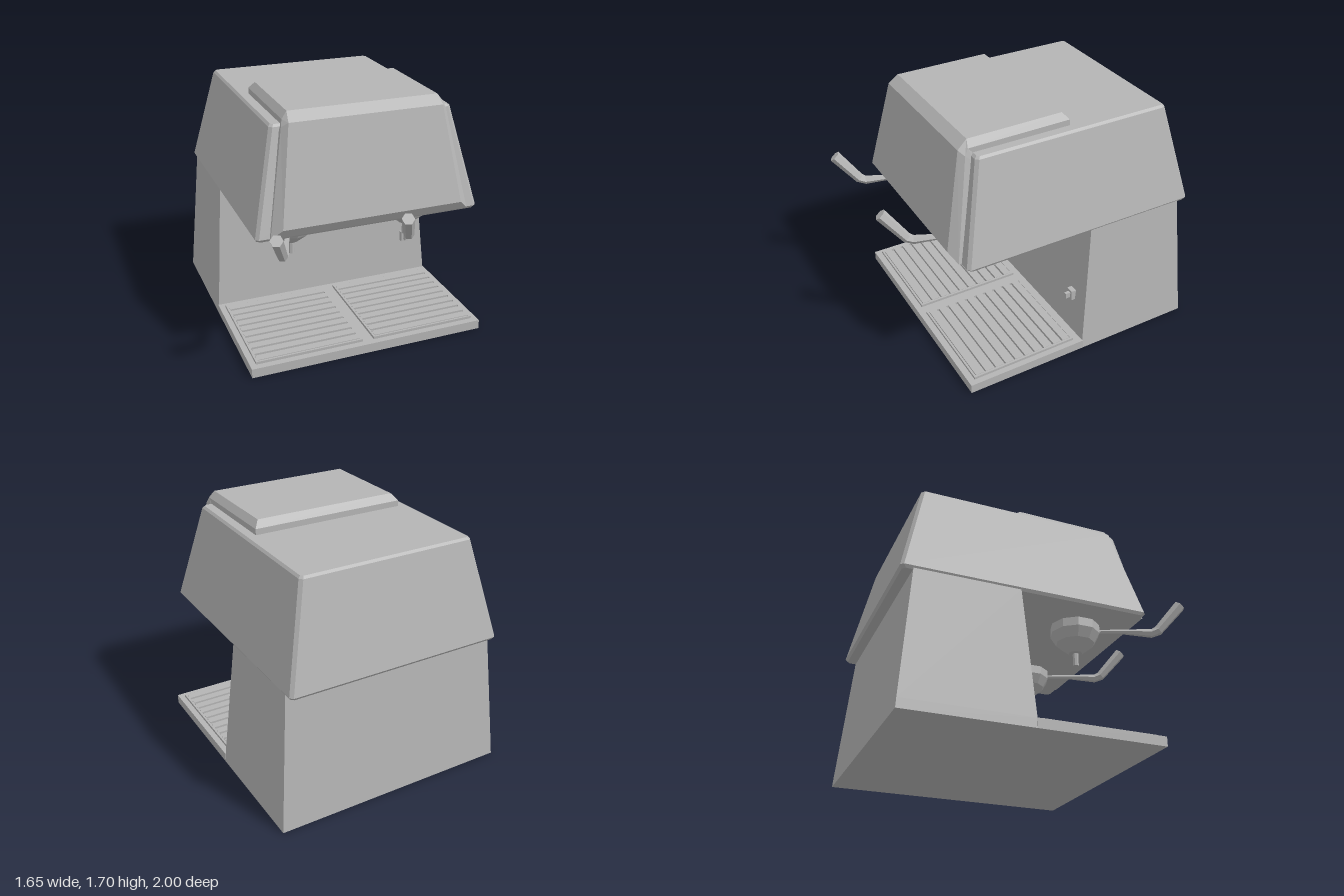
import * as THREE from 'three';

const grey = new THREE.MeshStandardMaterial({ color: 0xb4b4b4 });
grey.name = 'machine grey';

// Flat-faced mesh from any geometry
function flatMesh(name, geometry, x = 0, y = 0, z = 0) {
  const g = geometry.index ? geometry.toNonIndexed() : geometry;
  g.computeVertexNormals();
  const mesh = new THREE.Mesh(g, grey);
  mesh.name = name;
  mesh.position.set(x, y, z);
  return mesh;
}

const box = (name, w, h, d, x, y, z) => flatMesh(name, new THREE.BoxGeometry(w, h, d), x, y, z);

// Skin a series of even-sized rings, counter-clockwise seen from the last one, with strip caps
function loft(rings) {
  const out = [];
  const quad = (a, b, c, d) => [a, b, c, a, c, d].forEach((p) => out.push(...p));
  const n = rings[0].length;
  for (let r = 0; r < rings.length - 1; r++) {
    for (let i = 0; i < n; i++) {
      const j = (i + 1) % n;
      quad(rings[r][i], rings[r][j], rings[r + 1][j], rings[r + 1][i]);
    }
  }
  const first = rings[0], last = rings[rings.length - 1];
  for (let i = 0; i < n / 2 - 1; i++) {
    const [a, b, c, d] = [i, i + 1, n - 2 - i, n - 1 - i];
    quad(last[a], last[b], last[c], last[d]);
    quad(first[d], first[c], first[b], first[a]);
  }
  const g = new THREE.BufferGeometry();
  g.setAttribute('position', new THREE.Float32BufferAttribute(out, 3));
  return g;
}

// Complete a right-hand half ring with its mirror image
const mirrored = (half) => [...half, ...half.slice().reverse().map(([x, y, z]) => [-x, y, z])];

// Horizontal rectangle, with cut corners when c > 0
function rectRing(y, x, front, back, c = 0) {
  return mirrored(c
    ? [[x - c, y, front], [x, y, front - c], [x, y, back + c], [x - c, y, back]]
    : [[x, y, front], [x, y, back]]);
}

// Six-sided tapered portafilter handle, bent up at the grip
function makeHandle() {
  const path = [
    [-0.04, 0.89, 0.42, 0.014], [-0.07, 0.89, 0.48, 0.016], [-0.135, 0.89, 0.63, 0.018],
    [-0.205, 0.878, 0.79, 0.03], [-0.225, 0.895, 0.83, 0.034], [-0.302, 1.075, 0.968, 0.041],
  ];
  const points = path.map(([x, y, z]) => new THREE.Vector3(x, y, z));
  const side = new THREE.Vector3(0.91, 0, 0.41);
  const rings = points.map((p, k) => {
    const before = points[Math.max(k - 1, 0)], after = points[Math.min(k + 1, points.length - 1)];
    const tangent = after.clone().sub(before).normalize();
    const up = tangent.clone().cross(side).normalize();
    return Array.from({ length: 6 }, (_, i) => {
      const a = (i * Math.PI) / 3;
      return p.clone()
        .addScaledVector(side, Math.cos(a) * path[k][3])
        .addScaledVector(up, Math.sin(a) * path[k][3]).toArray();
    });
  });
  return flatMesh('portafilterHandle', loft(rings));
}

// Brewing bowl, spout and handle
function makeBrewGroup(x) {
  const group = new THREE.Group();
  group.name = 'brewGroup';
  group.position.x = x;
  const profile = [[0, 0.725], [0.045, 0.73], [0.13, 0.8], [0.168, 0.865], [0.168, 0.94], [0, 0.94]]
    .map(([r, y]) => new THREE.Vector2(r, y));
  group.add(flatMesh('brewBowl', new THREE.LatheGeometry(profile, 10), 0, 0, 0.315));
  group.add(flatMesh('spout', new THREE.CylinderGeometry(0.02, 0.02, 0.11, 8), 0, 0.695, 0.315));
  group.add(makeHandle());
  return group;
}

// Drip grate: low frame with raised slats running sideways
function makeGrate(x) {
  const group = new THREE.Group();
  group.name = 'dripGrate';
  group.position.x = x;
  const width = 0.745, front = 0.665, back = -0.1, mid = (front + back) / 2;
  for (const s of [-1, 1]) {
    group.add(box('grateSideBar', 0.016, 0.022, front - back, s * (width / 2 - 0.008), 0.072, mid));
    group.add(box('grateEndBar', width, 0.022, 0.014, 0, 0.072, mid + s * ((front - back) / 2 - 0.007)));
  }
  for (let i = 0; i < 10; i++) {
    group.add(box('grateSlat', width - 0.03, 0.025, 0.055, 0, 0.0725, back + 0.045 + i * 0.075));
  }
  return group;
}

// Bevelled front cover wrapping over the top of the hood
function makeCover() {
  const seat = [[0.67, 0.93, 0.65], [0.55, 1.55, 0.5], [0.535, 1.59, 0.49], [0.535, 1.59, -0.16]];
  const rim = [[0.67, 0.95, 0.695], [0.548, 1.61, 0.57], [0.535, 1.65, 0.545], [0.535, 1.655, -0.16]];
  const face = [[0.603, 1.015, 0.737], [0.51, 1.64, 0.6], [0.5, 1.695, 0.535], [0.5, 1.7, -0.12]];
  return flatMesh('frontCover', loft([seat, rim, face].map(mirrored)));
}

export function createModel() {
  const model = new THREE.Group();
  model.name = 'espressoMachine';

  // Main housing
  model.add(box('baseTray', 1.65, 0.065, 0.87, 0, 0.0325, 0.275));
  model.add(flatMesh('rearBody', loft([
    rectRing(0, 0.825, -0.15, -1), rectRing(0.065, 0.82, -0.155, -0.995),
    rectRing(0.935, 0.75, -0.22, -0.92),
  ])));
  model.add(flatMesh('hood', loft([
    rectRing(0.925, 0.745, 0.66, -0.985, 0.02), rectRing(0.945, 0.757, 0.675, -1, 0.02),
    rectRing(1.6, 0.607, 0.528, -0.853, 0.02), rectRing(1.615, 0.593, 0.513, -0.84, 0.015),
  ])));
  model.add(makeCover());

  // Paired fittings
  for (const s of [-1, 1]) {
    model.add(makeGrate(s * 0.4125));
    model.add(makeBrewGroup(s * 0.415));
  }

  // Power switch on the inner wall
  model.add(box('switchPlate', 0.055, 0.075, 0.04, 0.65, 0.36, -0.165));
  model.add(box('switchLever', 0.022, 0.04, 0.05, 0.65, 0.36, -0.135));
  return model;
}
